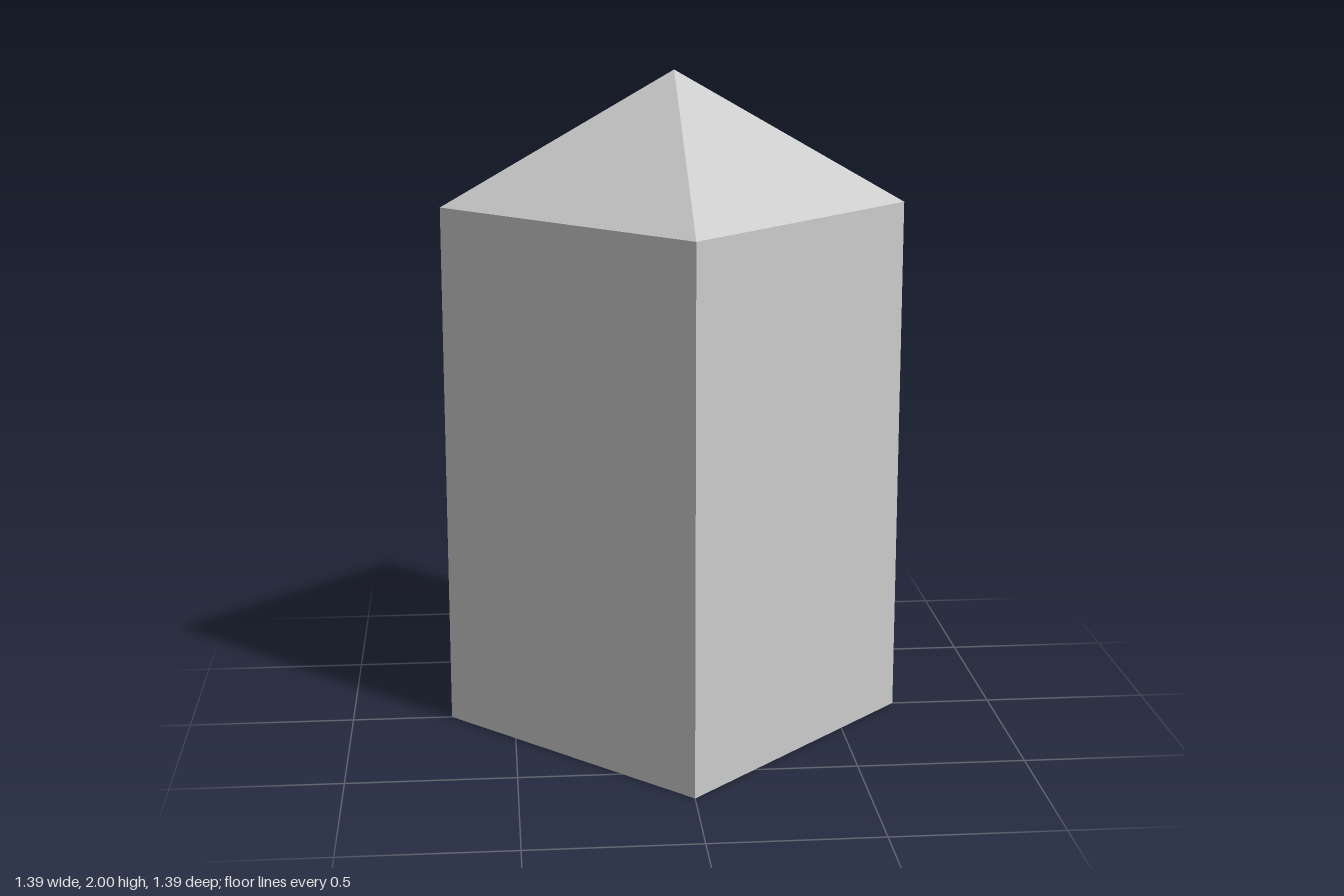
import * as THREE from 'three';

export function createModel() {
  const radius = 0.695, wallHeight = 1.6, roofHeight = 0.4, sides = 4;
  const material = new THREE.MeshStandardMaterial({ color: 0xcccccc, flatShading: true });
  const model = new THREE.Group();
  model.name = 'squarePost';

  const add = (name, geometry, y) => {
    const mesh = new THREE.Mesh(geometry, material);
    mesh.name = name;
    mesh.position.y = y;
    model.add(mesh);
  };

  // Square shaft, its corners on the x and z axes
  add('shaft', new THREE.CylinderGeometry(radius, radius, wallHeight, sides), wallHeight / 2);
  // Pyramid cap resting flush on the shaft
  add('pyramidCap', new THREE.ConeGeometry(radius, roofHeight, sides, 1, true), wallHeight + roofHeight / 2);

  return model;
}
